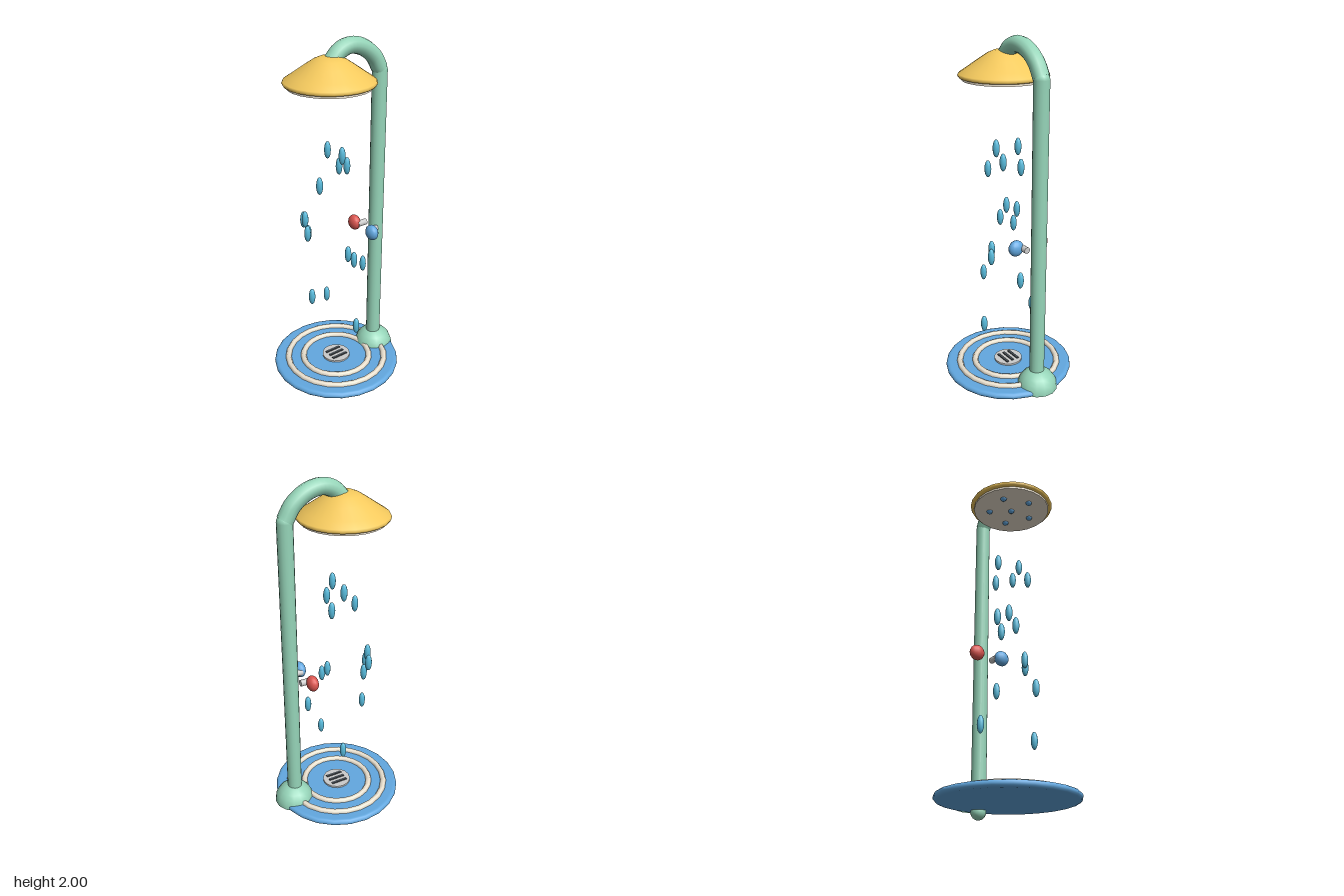
import * as THREE from 'three';

const mat = (color, side = THREE.FrontSide) => new THREE.MeshStandardMaterial({ color, side });

export function createModel() {
  const model = new THREE.Group();
  const green = mat(0x96d5b9, THREE.DoubleSide);
  const yellow = mat(0xf4c95d);
  const blue = mat(0x62a8e0);
  const red = mat(0xdc5650);
  const cream = mat(0xf0e6d4);
  const water = mat(0x58bbdc);
  const grey = mat(0xcccccc);
  const dark = mat(0x444a50);

  const add = (name, geometry, material, x = 0, y = 0, z = 0, parent = model) => {
    const mesh = new THREE.Mesh(geometry, material);
    mesh.name = name;
    mesh.position.set(x, y, z);
    parent.add(mesh);
    return mesh;
  };
  const lathe = (points, segments) =>
    new THREE.LatheGeometry(points.map(([r, y]) => new THREE.Vector2(r, y)), segments);

  const baseZ = 0.015, poleZ = -0.27, headZ = 0.052;

  // Round tray with a soft rim
  const rim = [];
  for (let i = 0; i <= 6; i++) {
    const a = -Math.PI / 2 + (i / 6) * Math.PI;
    rim.push([0.357 + 0.018 * Math.cos(a), 0.068 + 0.018 * Math.sin(a)]);
  }
  add('tray', lathe([[0, 0.05], [0.35, 0.05], ...rim, [0.35, 0.086], [0, 0.086]], 24), blue, 0, 0, baseZ);

  // Raised rings on the tray
  for (const radius of [0.292, 0.2]) {
    const ring = add('trayRing', new THREE.TorusGeometry(radius, 0.018, 6, 24), cream, 0, 0.086, baseZ);
    ring.rotation.x = -Math.PI / 2;
  }

  // Drain with three slots
  add('drain', new THREE.CylinderGeometry(0.083, 0.083, 0.014, 16), grey, 0, 0.09, baseZ);
  for (const x of [-0.036, 0, 0.036]) {
    add('drainSlot', new THREE.BoxGeometry(0.015, 0.01, 0.1), dark, x, 0.098, baseZ);
  }

  // Pole, foot dome and curved arm
  add('pole', new THREE.CapsuleGeometry(0.042, 1.765, 6, 16), green, 0, 0.925, poleZ);
  add('poleFoot', new THREE.SphereGeometry(0.116, 14, 6, 0, Math.PI * 2, 0, Math.PI / 2), green, 0, 0.056, poleZ - 0.005);
  const armPath = new THREE.CatmullRomCurve3([
    [1.815, -0.268], [1.885, -0.225], [1.94, -0.15], [1.957, -0.07], [1.935, -0.005], [1.885, 0.045],
  ].map(([y, z]) => new THREE.Vector3(0, y, z)));
  add('arm', new THREE.TubeGeometry(armPath, 20, 0.044, 12), green);

  // Shower head: cone shell, face plate and nozzles
  const head = new THREE.Group();
  head.name = 'showerHead';
  head.position.z = headZ;
  model.add(head);
  add('headShell', lathe([
    [0, 1.777], [0.225, 1.777], [0.237, 1.78], [0.243, 1.79], [0.238, 1.8], [0.2, 1.825],
    [0.13, 1.873], [0.085, 1.902], [0.05, 1.917], [0, 1.92],
  ], 24), yellow, 0, 0, 0, head);
  add('facePlate', new THREE.CylinderGeometry(0.222, 0.222, 0.018, 24), cream, 0, 1.774, 0, head);
  const nozzle = new THREE.SphereGeometry(0.019, 10, 6);
  add('nozzle', nozzle, blue, 0, 1.767, 0, head);
  for (let i = 0; i < 5; i++) {
    const a = (i / 5) * Math.PI * 2;
    add('nozzle', nozzle, blue, 0.13 * Math.cos(a), 1.767, 0.13 * Math.sin(a), head);
  }

  // Hot and cold knobs on short stems
  for (const [side, material, name] of [[-1, red, 'hotKnob'], [1, blue, 'coldKnob']]) {
    const stem = add('knobStem', new THREE.CylinderGeometry(0.018, 0.018, 0.06, 10), grey, side * 0.051, 0.905, -0.206);
    stem.rotation.x = Math.PI / 2;
    const knob = add(name, new THREE.SphereGeometry(0.045, 14, 10), material, side * 0.082, 0.905, -0.177);
    knob.scale.z = 0.72;
  }

  // Falling water drops
  const drop = new THREE.SphereGeometry(0.019, 10, 8);
  [
    [-0.07, 1.4, 0.02], [0.07, 1.41, 0.025], [0.055, 1.34, -0.018], [-0.047, 1.3, -0.04],
    [0.042, 1.26, 0.15], [-0.09, 1.015, 0.16], [-0.147, 0.985, 0.135], [-0.053, 0.945, 0.17],
    [-0.115, 0.91, 0.124], [0.113, 0.84, 0.013], [0.133, 0.805, -0.013], [0.034, 0.69, -0.153],
    [0.042, 0.6, 0.21], [-0.147, 0.435, -0.02], [0.178, 0.393, 0],
  ].forEach(([x, y, z]) => {
    add('waterDrop', drop, water, x, y, z).scale.y = 2.6;
  });

  return model;
}
